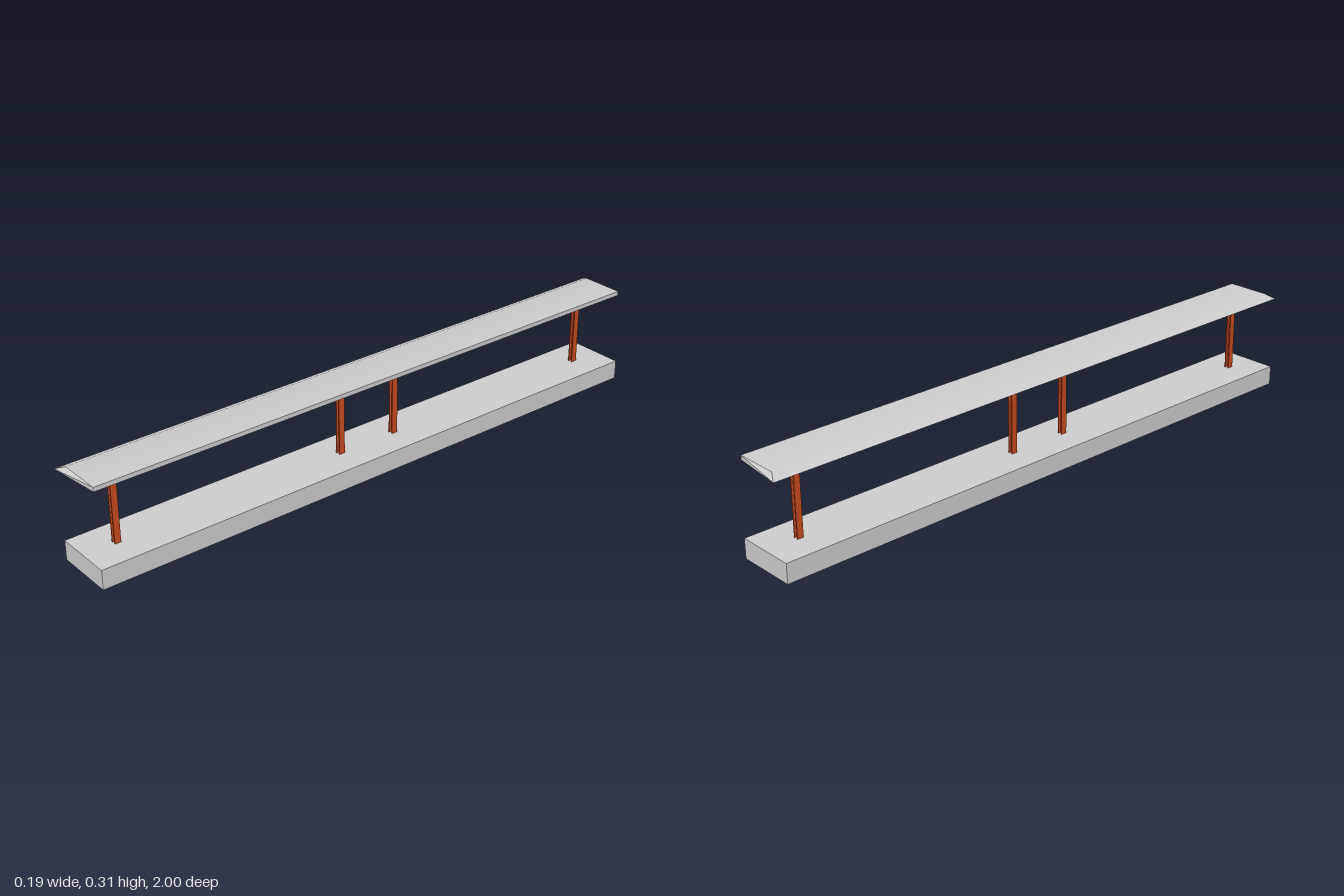
import * as THREE from 'three';
import { ConvexGeometry } from 'three/addons/geometries/ConvexGeometry.js';
import { toCreasedNormals } from 'three/addons/utils/BufferGeometryUtils.js';

const grey = new THREE.MeshStandardMaterial({ color: 0xcccccc });
const red = new THREE.MeshStandardMaterial({ color: 0xc84a20 });

// Box given by its extents along each axis
function block(name, [x0, x1], [y0, y1], [z0, z1], material) {
  const mesh = new THREE.Mesh(new THREE.BoxGeometry(x1 - x0, y1 - y0, z1 - z0), material);
  mesh.position.set((x0 + x1) / 2, (y0 + y1) / 2, (z0 + z1) / 2);
  mesh.name = name;
  return mesh;
}

// H-section post: flanges towards -x and +x, web between
function createPost(z) {
  const w = 0.008, d = 0.01, t = 0.003;
  const section = new THREE.Shape([
    [-w, -d], [-w + t, -d], [-w + t, -t / 2], [w - t, -t / 2], [w - t, -d], [w, -d],
    [w, d], [w - t, d], [w - t, t / 2], [-w + t, t / 2], [-w + t, d], [-w, d],
  ].map(([x, y]) => new THREE.Vector2(x, y)));
  const geometry = new THREE.ExtrudeGeometry(section, { depth: 0.22, bevelEnabled: false });
  geometry.rotateX(-Math.PI / 2);
  const post = new THREE.Mesh(geometry, red);
  post.position.set(0, 0.062, z);
  post.name = 'post';
  return post;
}

// Slab roof with a sloped eave on the -x side and pointed lower corners
function createRoof() {
  const points = [];
  for (const s of [-1, 1]) {
    points.push(
      new THREE.Vector3(-0.086, 0.296, s),
      new THREE.Vector3(-0.054, 0.31, s * 0.982),
      new THREE.Vector3(0.085, 0.31, s * 0.982),
      new THREE.Vector3(0.085, 0.296, s * 0.982),
    );
  }
  const roof = new THREE.Mesh(toCreasedNormals(new ConvexGeometry(points), 0.6), grey);
  roof.name = 'roof';
  return roof;
}

export function createModel() {
  const model = new THREE.Group();
  model.name = 'platformShelter';
  model.add(block('platform', [-0.0955, 0.0955], [0, 0.062], [-0.985, 0.985], grey));
  model.add(createRoof());

  // Two equal frames end to end, with a small gap in the middle
  for (const offset of [0.007, -0.973]) {
    const frame = new THREE.Group();
    frame.name = 'supportFrame';
    for (const z of [0.097, 0.873]) {
      frame.add(createPost(z));
      frame.add(block('crossBeam', [-0.059, 0.059], [0.282, 0.296], [z - 0.01, z + 0.01], red));
    }
    for (const x of [-0.054, 0.054]) {
      frame.add(block('purlin', [x - 0.005, x + 0.005], [0.285, 0.296], [0, 0.968], red));
    }
    frame.position.z = offset;
    model.add(frame);
  }
  return model;
}
